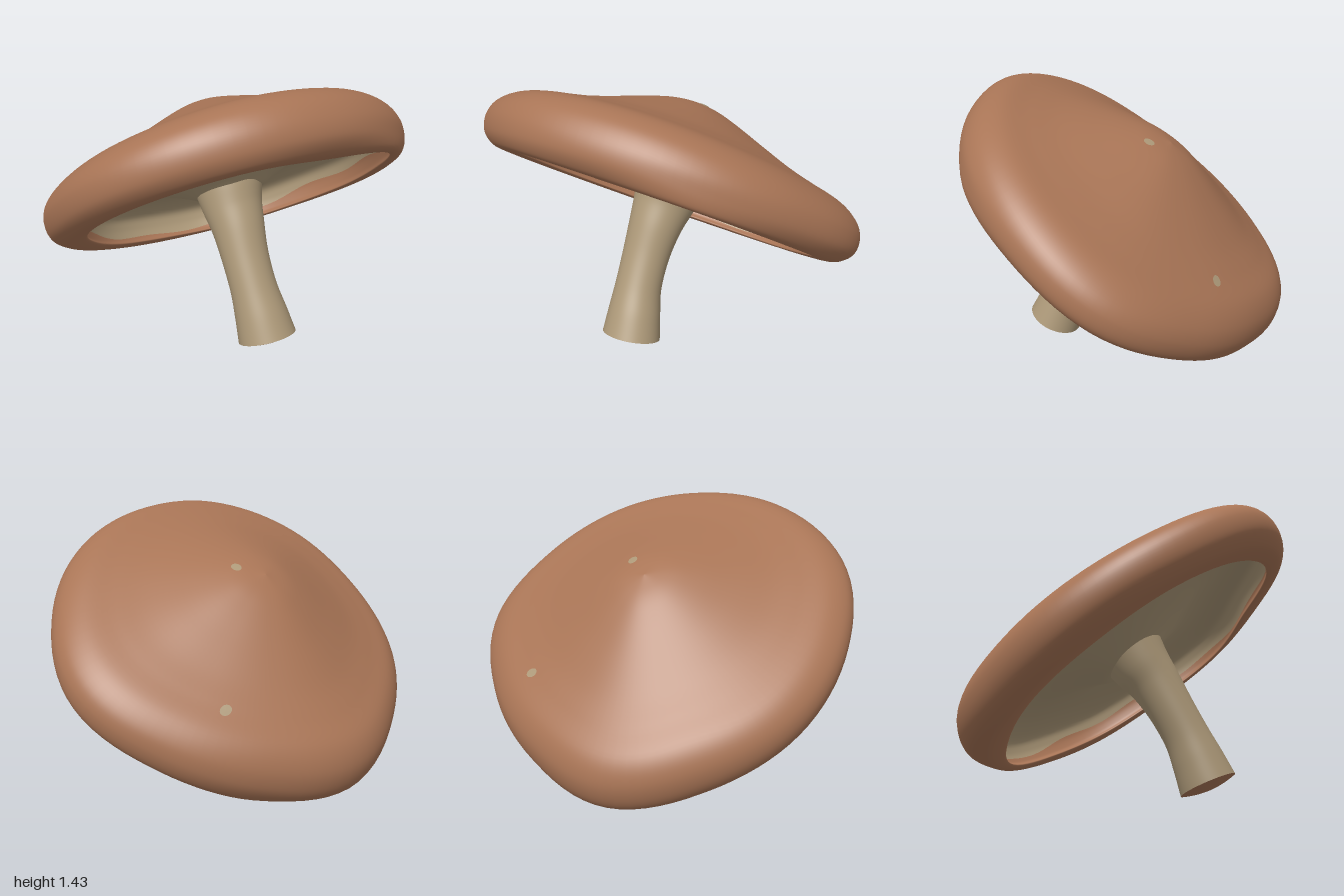
import * as THREE from 'three';

const SEG = 96;
const vec = (p) => new THREE.Vector3(...p);
const spline = (pts) => new THREE.CatmullRomCurve3(pts.map(vec), false, 'catmullrom', 0.5);

// Smooth periodic radius from values spaced evenly round the circle
function radial(values) {
  const c = new THREE.CatmullRomCurve3(values.map((r) => vec([r, 0, 0])), true, 'catmullrom', 0.5);
  return (a) => c.getPoint((((a / (2 * Math.PI)) % 1) + 1) % 1).x;
}

// Closed loops of points joined into one smooth skin
function loft(rows, pointAt) {
  const pos = [], idx = [];
  for (let i = 0; i <= rows; i++) {
    for (let j = 0; j < SEG; j++) {
      const p = pointAt(i / rows, (j / SEG) * Math.PI * 2);
      pos.push(p.x, p.y, p.z);
      if (i === rows) continue;
      const k = (j + 1) % SEG, a = i * SEG + j, b = i * SEG + k;
      idx.push(a, b, a + SEG, b, b + SEG, a + SEG);
    }
  }
  const g = new THREE.BufferGeometry();
  g.setAttribute('position', new THREE.Float32BufferAttribute(pos, 3));
  g.setIndex(idx);
  g.computeVertexNormals();
  return g;
}

// Uneven outline of the cap and of the opening under it, every 30 degrees
const outerR = radial([0.975, 1.03, 1.05, 1.0, 0.975, 0.96, 0.995, 0.935, 0.94, 1.0, 0.965, 0.96]);
const lipR = radial([0.8, 0.88, 0.87, 0.83, 0.78, 0.79, 0.79, 0.83, 0.78, 0.79, 0.8, 0.87]);

// Cap profile from apex over the rim and lip to the stem:
// radius factor, height, blend from outline to lip
const profile = [
  [0, 1.125, 0], [0.13, 1.105, 0], [0.25, 1.068, 0], [0.43, 1, 0], [0.6, 0.938, 0],
  [0.74, 0.898, 0], [0.88, 0.858, 0], [0.965, 0.785, 0], [1, 0.69, 0], [0.99, 0.605, 0],
  [1, 0.552, 0.35], [1, 0.538, 0.67], [1, 0.545, 1], [1.02, 0.575, 1], [1.03, 0.64, 1],
  [1, 0.705, 1], [0.85, 0.75, 1], [0.65, 0.745, 1], [0.45, 0.695, 1], [0.3, 0.645, 1],
  [0.2, 0.605, 1], [0.1, 0.595, 1],
];
const STEPS = profile.length - 1;
const RIM = 8 / STEPS;
const RIM_HEIGHT = 0.69;
const capCurve = spline(profile);

// Point on the cap; the shoulders are lower at the sides and the whole cap leans
function capPoint(s, a, lift = 0) {
  const { x: t, y: v, z: w } = capCurve.getPoint(s);
  const r = Math.max(t, 0) * THREE.MathUtils.lerp(outerR(a), lipR(a), w);
  const x = r * Math.cos(a), z = r * Math.sin(a);
  const dip = 0.28 * Math.max(v - RIM_HEIGHT, 0) * Math.sin(a) ** 2 * (1 - w) * t * t;
  return new THREE.Vector3(0.4 + x, v + lift - dip + 0.07 * x + (0.075 + 0.015 * w) * z, z);
}

// Wavy line inside the lip where the skin colour stops
const seam = (a) => (13 + Math.sin(a) ** 2 + 0.15 * Math.sin(9 * a)) / STEPS;

export function createModel() {
  const brown = new THREE.MeshStandardMaterial({ color: 0xa97556 });
  brown.name = 'capBrown';
  const tan = new THREE.MeshStandardMaterial({ color: 0xac9878 });
  tan.name = 'stemTan';

  const model = new THREE.Group();
  model.name = 'mushroom';
  const cap = new THREE.Group();
  cap.name = 'cap';
  cap.rotation.z = Math.PI / 6;
  model.add(cap);

  const add = (parent, name, geometry, material) => {
    const m = new THREE.Mesh(geometry, material);
    m.name = name;
    parent.add(m);
  };

  // Brown skin with rolled rim, and the pale hollow underside
  add(cap, 'capSkin', loft(80, (s, a) => capPoint(s * seam(a), a)), brown);
  add(cap, 'underside', loft(40, (s, a) => capPoint(THREE.MathUtils.lerp(seam(a), 1, s), a)), tan);

  // Small pale flecks lying on the dome
  const domeAt = (x, z) => {
    const a = Math.atan2(z, x), t = Math.hypot(x, z) / outerR(a);
    let lo = 0, hi = RIM;
    for (let i = 0; i < 24; i++) {
      const mid = (lo + hi) / 2;
      if (capCurve.getPoint(mid).x < t) lo = mid; else hi = mid;
    }
    return capPoint(lo, a, 0.004);
  };
  for (const [x, z, w, l] of [[-0.46, -0.53, 0.024, 0.03], [0.114, -0.1, 0.028, 0.024]]) {
    add(cap, 'fleck', loft(2, (s, a) =>
      domeAt(x + s * w * Math.cos(a), z + s * l * Math.sin(a))), tan);
  }

  // Bent stem, from the flared top down to the foot
  const path = spline([
    [0.05, 0.78, 0.02], [0.1, 0.7, 0.035], [0.17, 0.6, 0.05], [0.25, 0.46, 0.065],
    [0.33, 0.31, 0.07], [0.39, 0.18, 0.065], [0.44, 0.06, 0.06],
  ]);
  const girth = spline([0.18, 0.16, 0.138, 0.122, 0.12, 0.135, 0.15].map((r) => [r, 0, 0]));
  const stemPoint = (s, a, scale = 1, drop = 0) => {
    const c = path.getPoint(s), d = path.getTangent(s), r = girth.getPoint(s).x * scale;
    const n = Math.hypot(d.x, d.y);
    return new THREE.Vector3(
      c.x - (d.y / n) * r * Math.cos(a) + d.x * drop,
      c.y + (d.x / n) * r * Math.cos(a) + d.y * drop,
      c.z + r * 1.04 * Math.sin(a));
  };
  add(model, 'stem', loft(40, (s, a) => stemPoint(s, a)), tan);

  // Slightly domed end of the stem
  add(model, 'stemFoot', loft(6, (s, a) => stemPoint(1, a, 1 - s, 0.025 * (1 - (1 - s) ** 2))), brown);

  return model;
}
